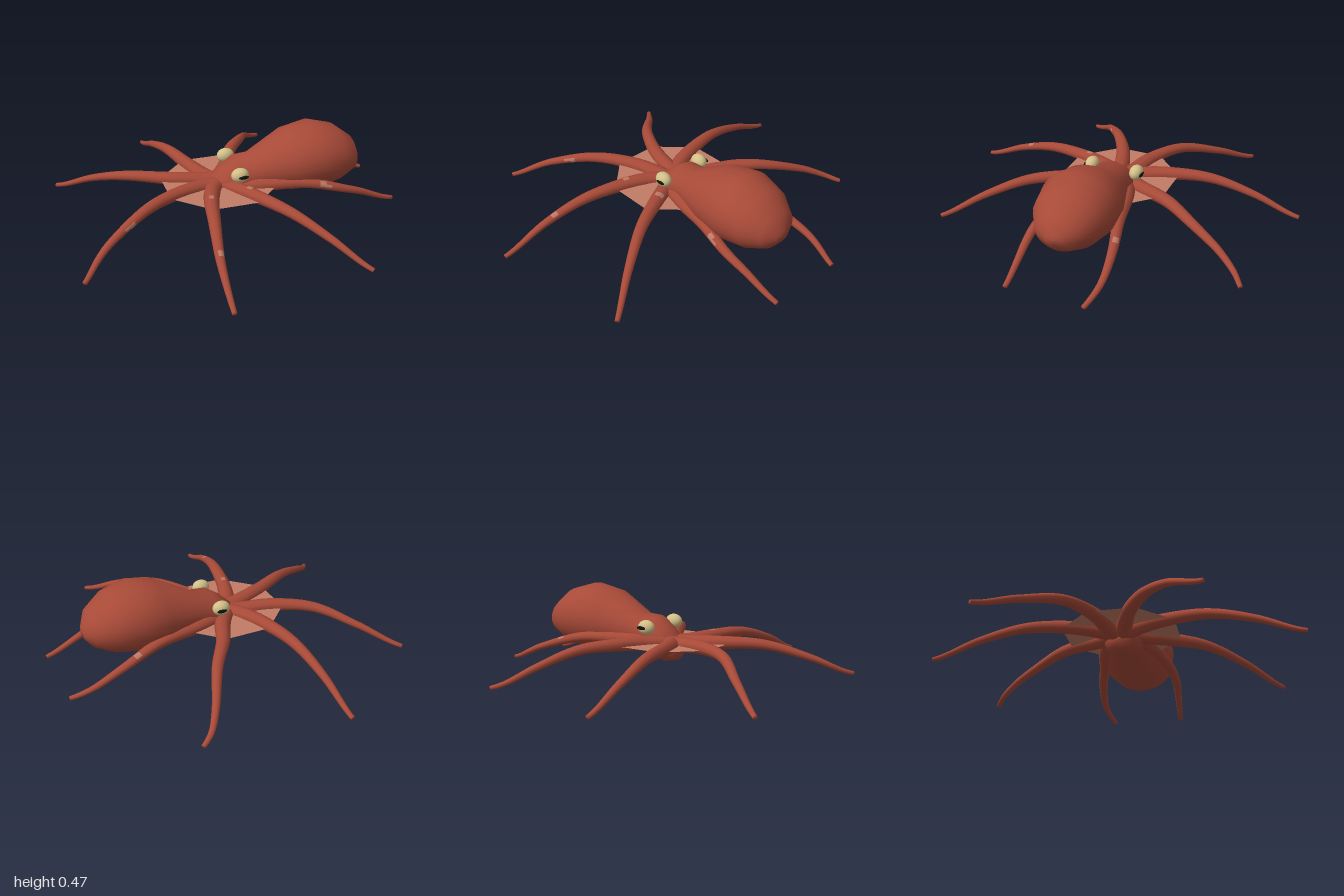
import * as THREE from 'three';

const mat = (name, color, side = THREE.FrontSide) => {
  const m = new THREE.MeshStandardMaterial({ color, side });
  m.name = name;
  return m;
};

// Skin stretched over closed rings; isPatch picks the quads that take the second material
function loft(rings, isPatch = () => false) {
  const n = rings[0].length;
  const groups = [[], []];
  for (let i = 0; i < rings.length - 1; i++) {
    for (let j = 0; j < n; j++) {
      const a = i * n + j, b = i * n + (j + 1) % n;
      groups[isPatch(i, j) ? 1 : 0].push(a, a + n, b, b, a + n, b + n);
    }
  }
  const geo = new THREE.BufferGeometry().setFromPoints(rings.flat());
  geo.setIndex(groups.flat());
  geo.addGroup(0, groups[0].length, 0);
  geo.addGroup(groups[0].length, groups[1].length, 1);
  geo.computeVertexNormals();
  return geo;
}

// Oval ring of points around a centre, square to the tangent
function ring(centre, tangent, rSide, rUp, sides) {
  const side = new THREE.Vector3().crossVectors(tangent, new THREE.Vector3(0, 1, 0)).normalize();
  const up = new THREE.Vector3().crossVectors(side, tangent).normalize();
  return Array.from({ length: sides }, (_, j) => {
    const a = (j / sides) * Math.PI * 2;
    return centre.clone().addScaledVector(side, Math.cos(a) * rSide).addScaledVector(up, Math.sin(a) * rUp);
  });
}

// Body sections: x, centre y, half height, half width
const BODY = [
  [-0.115, 0.14, 0, 0], [-0.105, 0.145, 0.065, 0.07], [-0.04, 0.17, 0.102, 0.105],
  [0.03, 0.203, 0.118, 0.12], [0.12, 0.222, 0.104, 0.124], [0.33, 0.266, 0.176, 0.195],
  [0.48, 0.278, 0.193, 0.215], [0.62, 0.27, 0.162, 0.187], [0.72, 0.255, 0.1, 0.125],
  [0.76, 0.24, 0.035, 0.045], [0.765, 0.24, 0, 0],
];

// Arm paths on the ground plane (x, z), with pale skin patches as [segment, side]
const ARMS = [
  { path: [[-0.07, -0.02], [-0.12, -0.09], [-0.17, -0.21], [-0.23, -0.45], [-0.27, -0.71], [-0.29, -0.99]], patches: [] },
  { path: [[-0.06, -0.04], [0.02, -0.16], [0.1, -0.33], [0.22, -0.51], [0.33, -0.72], [0.4, -0.82], [0.465, -0.87]], patches: [] },
  { path: [[-0.07, -0.03], [-0.14, -0.05], [-0.31, -0.095], [-0.52, -0.21], [-0.71, -0.39], [-0.905, -0.555]], patches: [] },
  { path: [[-0.05, -0.05], [0.15, -0.13], [0.4, -0.19], [0.59, -0.24], [0.77, -0.26], [0.92, -0.23]], patches: [[18, 2], [18, 3]] },
  { path: [[-0.05, 0.05], [0.15, 0.125], [0.35, 0.17], [0.56, 0.213], [0.77, 0.205], [0.92, 0.195]], patches: [[16, 0], [16, 1], [17, 0]] },
  { path: [[-0.06, 0.02], [-0.02, 0.08], [0.06, 0.23], [0.165, 0.42], [0.32, 0.645], [0.48, 0.855]], patches: [[6, 2], [6, 3]] },
  { path: [[-0.07, 0.02], [-0.11, 0.06], [-0.165, 0.19], [-0.22, 0.42], [-0.275, 0.71], [-0.295, 0.985]], patches: [[7, 2], [20, 2], [20, 3]] },
  { path: [[-0.07, 0.02], [-0.15, 0.03], [-0.34, 0.095], [-0.6, 0.25], [-0.81, 0.4], [-0.915, 0.525]], patches: [[18, 4], [18, 5], [19, 4]] },
];
const SEGMENTS = 30, SIDES = 10;

// Height of the arm centre line along its length
const armHeight = new THREE.SplineCurve([
  [0, 0.175], [0.2, 0.19], [0.45, 0.182], [0.75, 0.112], [1, 0.015],
].map(([t, y]) => new THREE.Vector2(t, y)));

function armGeometry({ path, patches }) {
  const flat = new THREE.CatmullRomCurve3(path.map(([x, z]) => new THREE.Vector3(x, 0, z)));
  const centres = flat.getSpacedPoints(SEGMENTS);
  centres.forEach((p, i) => { p.y = armHeight.getPoint(i / SEGMENTS).y; });
  const rings = centres.map((p, i) => {
    const tangent = centres[Math.min(i + 1, SEGMENTS)].clone().sub(centres[Math.max(i - 1, 0)]).normalize();
    const r = THREE.MathUtils.lerp(0.05, 0.013, i / SEGMENTS);
    return ring(p, tangent, r, r * 0.9, SIDES);
  });
  // Close the tip
  rings.push(rings[SEGMENTS].map(() => centres[SEGMENTS].clone()));
  return loft(rings, (i, j) => patches.some(([s, k]) => s === i && k === j));
}

export function createModel() {
  const skin = mat('red skin', 0xa84a38);
  const patch = mat('pale skin patch', 0xbd7a68);
  const webMat = mat('web skin', 0xc07c66, THREE.DoubleSide);
  const eyeMat = mat('eye yellow', 0xd2c088);
  const pupilMat = mat('pupil black', 0x14120f);
  const model = new THREE.Group();
  const add = (name, geo, material, parent = model) => {
    const mesh = new THREE.Mesh(geo, material);
    mesh.name = name;
    parent.add(mesh);
    return mesh;
  };

  // Head and mantle in one skin
  const xAxis = new THREE.Vector3(1, 0, 0);
  add('body', loft(BODY.map(([x, y, h, w]) => ring(new THREE.Vector3(x, y, 0), xAxis, w, h, 28))), [skin, patch]);

  // Eight arms
  const arms = new THREE.Group();
  arms.name = 'arms';
  model.add(arms);
  ARMS.forEach((arm, i) => add(`arm${i + 1}`, armGeometry(arm), [skin, patch], arms));

  // Octagonal web between the arms
  const web = add('web', new THREE.CircleGeometry(0.335, 8, Math.PI / 8).rotateX(-Math.PI / 2), webMat);
  web.position.set(-0.062, 0.185, 0);

  // Eyes with slit pupils
  for (const s of [1, -1]) {
    const eye = new THREE.Group();
    eye.name = s > 0 ? 'frontEye' : 'backEye';
    eye.position.set(0.015, 0.27, s * 0.133);
    model.add(eye);
    add('eyeball', new THREE.SphereGeometry(1, 20, 14), eyeMat, eye).scale.set(0.05, 0.041, 0.038);
    const pupil = add('pupil', new THREE.SphereGeometry(1, 16, 10), pupilMat, eye);
    pupil.scale.set(0.029, 0.011, 0.008);
    pupil.position.set(0.01, 0, s * 0.034);
  }
  return model;
}
